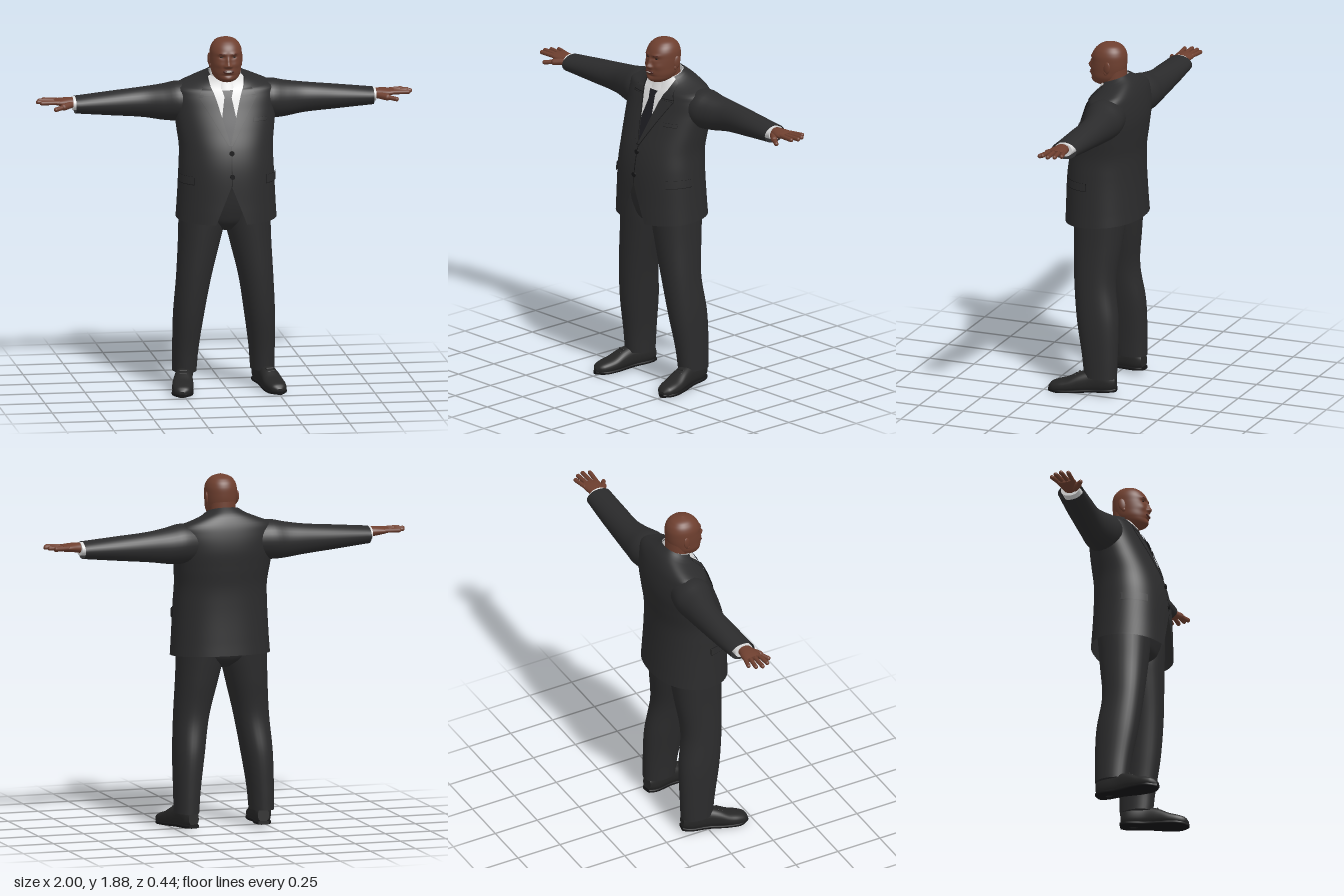
import * as THREE from 'three';

const mat = (name, color, side = THREE.FrontSide) => {
  const m = new THREE.MeshStandardMaterial({ color, side });
  m.name = name;
  return m;
};

// Grid surface from a point function; columns may wrap round
function grid(ni, nj, fn, closed = false, flip = false) {
  const pos = [], idx = [], cols = closed ? nj : nj + 1;
  for (let i = 0; i <= ni; i++) for (let j = 0; j < cols; j++) pos.push(...fn(i, j));
  for (let i = 0; i < ni; i++) for (let j = 0; j < nj; j++) {
    const k = (j + 1) % cols;
    const a = i * cols + j, b = i * cols + k, c = a + cols, d = b + cols;
    if (flip) idx.push(a, d, b, a, c, d); else idx.push(a, b, d, a, d, c);
  }
  const g = new THREE.BufferGeometry();
  g.setAttribute('position', new THREE.Float32BufferAttribute(pos, 3));
  g.setIndex(idx);
  g.computeVertexNormals();
  return g;
}

// Sections are [t, centre, halfWidth, zBack, zFront, tilt], smoothly interpolated
function spline(rows) {
  const vals = rows.flatMap(r => [...r.slice(1), ...(r.length < 6 ? [0] : [])]);
  const it = new THREE.CubicInterpolant(new Float32Array(rows.map(r => r[0])), new Float32Array(vals), 5);
  return t => it.evaluate(t);
}
const spow = (v, e) => Math.sign(v) * Math.abs(v) ** e;
function ringPoint(v, t, th, p, off = 0) {
  const z = ((v[3] - v[2]) / 2 + off) * spow(Math.cos(th), 2 / p);
  return [v[0] + (v[1] + off) * spow(Math.sin(th), 2 / p), t - v[4] * z, (v[2] + v[3]) / 2 + z];
}

// Loft along y, or along x with axis 'x'; ends closed when cap is set
function loft(rows, { axis = 'y', ni = 32, nj = 32, p = 2, cap = true } = {}) {
  const at = spline(rows), t0 = rows[0][0], t1 = rows[rows.length - 1][0], e = cap ? 2 : 0;
  return grid(ni + 2 * e, nj, (i, j) => {
    const k = Math.min(Math.max(i - e, 0), ni), t = t0 + (t1 - t0) * k / ni, v = at(t);
    let q = ringPoint(v, t, j / nj * Math.PI * 2, p);
    if (cap && (i === 0 || i === ni + 4)) q = [v[0], t, (v[2] + v[3]) / 2];
    return axis === 'x' ? [q[1], q[0], q[2]] : q;
  }, true, axis === 'x');
}

function mirrored(geo) {
  const g = geo.clone().scale(-1, 1, 1), ix = g.index.array;
  for (let i = 0; i < ix.length; i += 3) [ix[i], ix[i + 1]] = [ix[i + 1], ix[i]];
  return g;
}

const ball = (x, y, z, sx, sy, sz) => new THREE.SphereGeometry(1, 24, 16).scale(sx, sy, sz).translate(x, y, z);

// Capsule between two points
function rod(a, b, r) {
  const p = new THREE.Vector3(...a), q = new THREE.Vector3(...b), d = q.clone().sub(p);
  const turn = new THREE.Quaternion().setFromUnitVectors(new THREE.Vector3(0, 1, 0), d.clone().normalize());
  return new THREE.CapsuleGeometry(r, Math.max(d.length() - r, 0.001), 6, 12)
    .applyQuaternion(turn).translate(...p.add(q).multiplyScalar(0.5).toArray());
}

export function createModel() {
  const root = new THREE.Group();
  root.name = 'manInSuit';
  const suit = mat('charcoal suit', 0x2b2b2c, THREE.DoubleSide), seam = mat('dark seam', 0x161617, THREE.DoubleSide);
  const white = mat('white shirt', 0xdcdcdc, THREE.DoubleSide), tieMat = mat('tie', 0x1d1d22, THREE.DoubleSide);
  const skin = mat('skin', 0x6e3f2f), lipMat = mat('lips', 0x522a24), dark = mat('eyes', 0x1f1411);
  const leather = mat('shoe leather', 0x262626), teethMat = mat('teeth', 0xcfc8c0);
  const add = (name, geo, m) => {
    const mesh = new THREE.Mesh(geo, m);
    mesh.name = name;
    root.add(mesh);
    return mesh;
  };
  const pair = (name, geo, m, shift = 0) => {
    add(name + 'Left', geo, m).position.x = shift;
    add(name + 'Right', mirrored(geo), m).position.x = shift;
  };

  // Torso surface shared by jacket, shirt and everything laid on them
  const P = 2.2;
  const torso = spline([
    [0.925, 0, 0.265, -0.215, 0.197, 0.07], [1.0, 0, 0.26, -0.21, 0.195, 0.04], [1.2, 0, 0.25, -0.2, 0.185, 0],
    [1.3, 0, 0.247, -0.2, 0.165, 0], [1.4, 0, 0.258, -0.21, 0.13, 0], [1.5, 0, 0.27, -0.216, 0.09, 0],
    [1.58, 0, 0.272, -0.205, 0.06, 0.05], [1.62, 0, 0.255, -0.19, 0.045, 0.15], [1.645, 0, 0.18, -0.17, 0.038, 0.3],
    [1.665, 0, 0.125, -0.15, 0.03, 0.35], [1.69, 0, 0.086, -0.125, 0.02, 0.35]]);
  const surf = (th, y, off) => ringPoint(torso(y), y, th, P, off);
  const angle = (x, y) => Math.asin(spow(Math.min(Math.max(x / torso(y)[1], -0.93), 0.93), P / 2));
  const opening = y => y < 1.12 ? (1.12 - y) * 0.42 : y < 1.33 ? 0 : (y - 1.33) * 0.27;
  const patch = (y0, y1, inner, outer, off, s = 1) => grid(20, 10, (i, j) => {
    const y = y0 + (y1 - y0) * i / 20, a = inner(y) * s, b = outer(y) * s;
    return surf(Math.min(a, b) + Math.abs(b - a) * j / 10, y, off);
  });

  // Jacket, parted at the neckline and below the buttons
  add('jacket', grid(76, 72, (i, j) => {
    const y = 0.925 + 0.765 * i / 76, g = angle(opening(y), y);
    return surf(g + (Math.PI * 2 - 2 * g) * j / 72, y, 0);
  }), suit);
  add('shirt', grid(40, 64, (i, j) => surf(j / 64 * Math.PI * 2, 1.25 + 0.435 * i / 40, -0.008), true), white);
  add('shirtCollar', loft([[1.635, 0, 0.09, -0.135, 0.04, 0.35], [1.66, 0, 0.082, -0.133, 0.027, 0.35],
    [1.687, 0, 0.075, -0.128, 0.014, 0.35]], { cap: false }), white);

  // Tie blade and knot
  const tieWidth = y => angle(0.018 + Math.min(1.58 - y, 0.12) * 0.17, y);
  add('tieBlade', patch(1.3, 1.58, y => -tieWidth(y), tieWidth, -0.003), tieMat);
  add('tieKnot', patch(1.565, 1.625, y => -angle(0.016 + (y - 1.565) * 0.22, y), y => angle(0.016 + (y - 1.565) * 0.22, y), 0.004), tieMat);

  // Lapels, collar and pocket flaps, each with a dark edge beneath
  const edged = (name, y0, y1, inner, outer, s, border) => {
    add(name, patch(y0, y1, inner, outer, 0.007, s), suit);
    add(name + 'Edge', patch(y0 - border, y1, y => inner(y), y => outer(y) + border * 2.5, 0.004, s), seam);
  };
  for (const s of [1, -1]) {
    const gap = y => angle(opening(y), y);
    edged('lapel', 1.33, 1.575, gap, y => angle(0.01 + (y - 1.33) * 0.57, y), s, 0.006);
    edged('jacketCollar', 1.588, 1.68, gap, y => angle(0.145 - (y - 1.588) * 0.4, y), s, 0.006);
    edged('sidePocket', 1.125, 1.165, () => 0.8, () => 1.5, s, 0.004);
  }
  edged('chestPocket', 1.445, 1.462, y => angle(0.125, y), y => angle(0.2, y), 1, 0.003);
  add('frontSeam', patch(1.12, 1.33, () => 0, () => 0.015, 0.002), seam);
  for (const y of [1.29, 1.168])
    add('button', new THREE.CylinderGeometry(0.013, 0.013, 0.008, 20).rotateX(Math.PI / 2).translate(0.004, y, surf(0, y, 0)[2] + 0.005), seam);

  // Sleeves and shirt cuffs
  pair('sleeve', loft([[0.15, 1.53, 0.095, -0.18, 0], [0.25, 1.53, 0.105, -0.197, 0.015], [0.32, 1.525, 0.096, -0.19, -0.005],
    [0.42, 1.525, 0.081, -0.185, -0.032], [0.6, 1.525, 0.064, -0.175, -0.028], [0.79, 1.525, 0.046, -0.16, -0.02]],
  { axis: 'x', cap: false }), suit);
  pair('cuff', loft([[0.74, 1.53, 0.036, -0.142, -0.038], [0.803, 1.533, 0.036, -0.14, -0.038]], { axis: 'x', ni: 4 }), white);

  // Hands: palm, four fingers and thumb
  pair('palm', loft([[0.77, 1.535, 0.028, -0.118, -0.058], [0.82, 1.54, 0.026, -0.126, -0.045], [0.87, 1.543, 0.02, -0.136, -0.034],
    [0.9, 1.544, 0.014, -0.134, -0.038]], { axis: 'x', ni: 14 }), skin);
  const fingers = [[-0.123, 0.958, -0.142], [-0.099, 0.985, -0.112], [-0.074, 0.997, -0.078], [-0.05, 0.982, -0.042]];
  for (const [z0, x, z1] of fingers) pair('finger', rod([0.87, 1.545, z0], [x - 0.005, 1.547, z1], 0.0115), skin);
  pair('thumbBase', rod([0.805, 1.533, -0.065], [0.865, 1.525, -0.02], 0.018), skin);
  pair('thumb', rod([0.85, 1.527, -0.03], [0.908, 1.518, 0.004], 0.012), skin);

  // Trousers
  pair('trouserLeg', loft([[0.095, 0.207, 0.063, -0.14, 0.037], [0.2, 0.203, 0.067, -0.142, 0.05], [0.4, 0.188, 0.08, -0.14, 0.085],
    [0.6, 0.165, 0.091, -0.114, 0.107], [0.8, 0.135, 0.11, -0.135, 0.12], [0.9, 0.122, 0.12, -0.146, 0.125],
    [1.05, 0.115, 0.122, -0.16, 0.13]], { ni: 40, p: 2.2 }), suit, -0.008);
  add('trouserSeat', loft([[0.86, 0, 0.06, -0.08, 0.06], [0.9, 0, 0.16, -0.135, 0.105], [0.95, 0, 0.22, -0.158, 0.125],
    [1.12, 0, 0.225, -0.17, 0.15]]), suit);

  // Shoes with soles and laces, toes turned out
  const place = g => g.rotateY(-Math.PI / 2).rotateX(0.06).rotateY(0.19).translate(0.218, 0.012, 0);
  pair('shoe', place(loft([[-0.137, 0.05, 0.035, -0.03, 0.03], [-0.11, 0.055, 0.052, -0.042, 0.042], [0, 0.058, 0.056, -0.044, 0.044],
    [0.06, 0.052, 0.05, -0.051, 0.051], [0.12, 0.039, 0.037, -0.056, 0.056], [0.18, 0.032, 0.03, -0.049, 0.049],
    [0.21, 0.028, 0.022, -0.034, 0.034], [0.222, 0.025, 0.01, -0.014, 0.014]], { axis: 'x', p: 2.4 })), leather, -0.008);
  pair('sole', place(loft([[-0.139, 0.01, 0.01, -0.028, 0.028], [-0.11, 0.01, 0.01, -0.043, 0.043], [0, 0.01, 0.01, -0.043, 0.043],
    [0.12, 0.01, 0.01, -0.057, 0.057], [0.19, 0.011, 0.01, -0.048, 0.048], [0.226, 0.012, 0.009, -0.014, 0.014]],
  { axis: 'x', p: 4 })), seam, -0.008);
  for (const t of [0.055, 0.075, 0.095])
    pair('lace', place(rod([t, 0.135 - t * 0.58, -0.02], [t, 0.135 - t * 0.58, 0.02], 0.005)), leather, -0.008);

  // Neck and head, with the face shaped by soft bumps [x, y, height, spreadX, spreadY]
  add('neck', loft([[1.58, 0, 0.07, -0.118, 0.005], [1.65, 0, 0.068, -0.115, 0.008], [1.76, 0, 0.07, -0.11, 0.01]]), skin);
  const bumps = [[0, 1.741, 0.02, 0.013, 0.014], [0, 1.765, 0.011, 0.009, 0.02], [0.015, 1.737, 0.009, 0.008, 0.009],
    [0.032, 1.801, 0.006, 0.022, 0.009], [0.032, 1.784, -0.008, 0.016, 0.009], [0.045, 1.742, 0.006, 0.02, 0.018],
    [0, 1.708, 0.008, 0.03, 0.016], [0, 1.689, -0.005, 0.025, 0.006], [0, 1.668, 0.006, 0.022, 0.012]];
  const head = loft([[1.648, 0, 0.03, -0.03, 0.05], [1.66, 0, 0.053, -0.06, 0.068], [1.69, 0, 0.074, -0.093, 0.076],
    [1.73, 0, 0.081, -0.108, 0.076], [1.78, 0, 0.084, -0.114, 0.074], [1.82, 0, 0.081, -0.111, 0.067],
    [1.85, 0, 0.066, -0.095, 0.046], [1.868, 0, 0.044, -0.07, 0.02], [1.879, 0, 0.009, -0.03, -0.012]],
  { ni: 80, nj: 96, p: 2.1 });
  const hp = head.attributes.position;
  for (let i = 0; i < hp.count; i++) {
    const x = hp.getX(i), y = hp.getY(i), z = hp.getZ(i);
    if (z < 0) continue;
    let d = 0;
    for (const [bx, by, h, sx, sy] of bumps) d += h * Math.exp(-(((Math.abs(x) - bx) / sx) ** 2) - ((y - by) / sy) ** 2);
    hp.setZ(i, z + d);
  }
  head.computeVertexNormals();
  add('head', head, skin);
  pair('ear', ball(0, 0, 0, 0.009, 0.034, 0.02).rotateX(-0.15).rotateY(-0.25).translate(0.083, 1.757, -0.038), skin);
  pair('earLobe', ball(0.081, 1.728, -0.03, 0.007, 0.012, 0.01), skin);
  pair('eye', ball(0.031, 1.783, 0.059, 0.011, 0.0035, 0.005), dark);
  pair('eyebrow', ball(0, 0, 0, 0.017, 0.0025, 0.004).rotateY(0.35).translate(0.033, 1.801, 0.068), lipMat);
  add('lips', ball(0, 1.709, 0.079, 0.029, 0.011, 0.0075), lipMat);
  add('teeth', ball(0, 1.709, 0.082, 0.02, 0.0045, 0.006), teethMat);

  return root;
}
